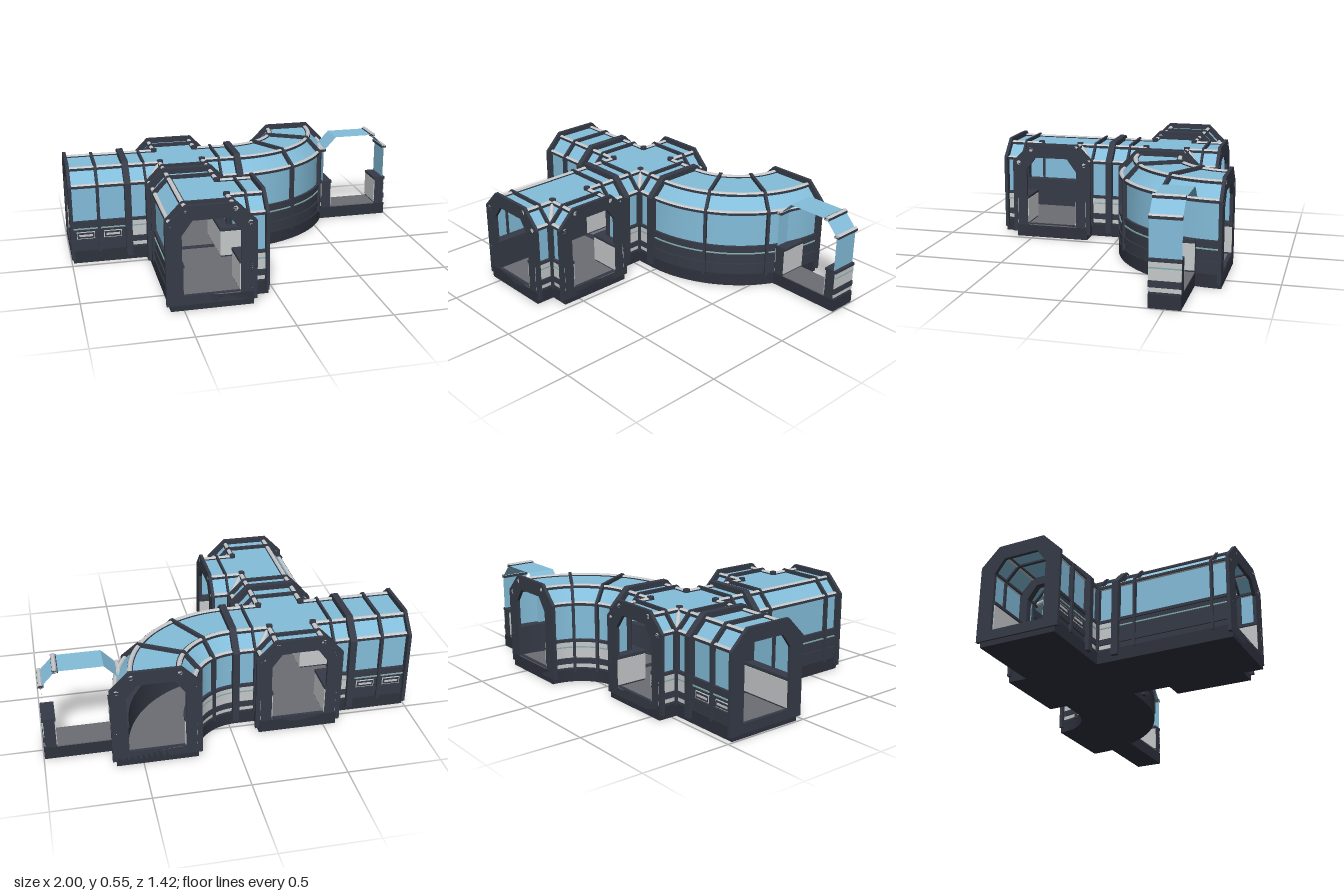
import * as THREE from 'three';
import { toCreasedNormals } from 'three/addons/utils/BufferGeometryUtils.js';

const mat = (name, color, side = THREE.FrontSide) => {
  const m = new THREE.MeshStandardMaterial({ color, side });
  m.name = name;
  return m;
};

// Sweep a (u, y) cross-section; map(u, t) gives the ground position [x, z].
function sweep(profile, n, map, closed = true) {
  const row = (i) => profile.map(([u, y]) => {
    const [x, z] = map(u, i / n);
    return new THREE.Vector3(x, y, z);
  });
  const tris = [];
  const rows = Array.from({ length: n + 1 }, (_, i) => row(i));
  const k = profile.length;
  for (let i = 0; i < n; i++) {
    for (let j = 0; j < (closed ? k : k - 1); j++) {
      const a = rows[i][j], b = rows[i][(j + 1) % k];
      const c = rows[i + 1][(j + 1) % k], d = rows[i + 1][j];
      tris.push([a, b, c], [a, c, d]);
    }
  }
  if (closed) {
    for (let j = 1; j < k - 1; j++) {
      tris.push([rows[0][0], rows[0][j + 1], rows[0][j]]);
      tris.push([rows[n][0], rows[n][j], rows[n][j + 1]]);
    }
    // Mirrored runs come out inside-out: turn them by signed volume.
    const o = rows[0][0], p = new THREE.Vector3(), q = new THREE.Vector3(), r = new THREE.Vector3();
    let vol = 0;
    for (const [a, b, c] of tris) vol += p.subVectors(a, o).dot(q.subVectors(b, o).cross(r.subVectors(c, o)));
    if (vol < 0) tris.forEach((t) => t.reverse());
  }
  const g = new THREE.BufferGeometry().setFromPoints(tris.flat());
  return toCreasedNormals(g, 0.5);
}

const rect = (u0, u1, y0, y1) => [[u0, y0], [u1, y0], [u1, y1], [u0, y1]];
const diamond = (u, y, r) => Array.from({ length: 8 }, (_, i) => {
  const a = (i + 0.5) * Math.PI / 4;
  return [u + r * Math.cos(a), y + r * Math.sin(a)];
});
const arch = (w, y0, y1, w2, y2) => [[-w, y0], [w, y0], [w, y1], [w2, y2], [-w2, y2], [-w, y1]]
  .map(([x, y]) => new THREE.Vector2(x, y));

export function createModel() {
  const root = new THREE.Group();
  root.name = 'corridorKit';
  const M = {
    frame: mat('darkFrame', 0x363b47),
    base: mat('darkBase', 0x2e323d),
    panel: mat('lightPanel', 0xc6c9cb),
    floor: mat('greyFloor', 0x6c6d74),
    glass: mat('blueGlass', 0x84bedb, THREE.DoubleSide),
    strip: mat('tealStrip', 0x86aeb0),
  };
  let group;
  const section = (name) => {
    group = new THREE.Group();
    group.name = name;
    root.add(group);
  };
  const add = (name, geo, m) => {
    const mesh = new THREE.Mesh(geo, m);
    mesh.name = name;
    group.add(mesh);
    return mesh;
  };

  // Half of a corridor: floor, wall, glass and rails on one side.
  function half(map, { n = 1, outer = true, inner = true, topRail = true } = {}) {
    const part = (name, p, m) => add(name, sweep(p, n, map), m);
    part('base', rect(0, 0.213, 0, 0.07), M.base);
    part('floor', rect(0, 0.146, 0.07, 0.076), M.floor);
    part('wall', rect(0.146, 0.205, 0.07, 0.228), M.frame);
    part('wallBand', rect(0.15, 0.212, 0.103, 0.135), M.frame);
    part('wallCap', rect(0.14, 0.212, 0.228, 0.244), M.frame);
    if (outer) {
      part('outerPanel', rect(0.204, 0.208, 0.137, 0.227), M.panel);
      part('lowerPanel', rect(0.204, 0.208, 0.08, 0.101), M.panel);
    }
    if (inner) part('innerPanel', rect(0.142, 0.147, 0.085, 0.224), M.panel);
    part('wallStrip', rect(0.204, 0.21, 0.195, 0.202), M.strip);
    add('glass', sweep([[0.197, 0.24], [0.197, 0.44], [0.12, 0.522], [0, 0.522]], n, map, false), M.glass);
    const rails = topRail ? [[0.198, 0.442], [0.122, 0.521]] : [[0.198, 0.442]];
    for (const [u, y] of rails) {
      part('railBed', rect(u - 0.016, u + 0.013, y - 0.008, y + 0.006), M.frame);
      part('rail', diamond(u, y + 0.001, 0.013), M.panel);
    }
  }

  // Portal rings across a corridor
  function ring(name, x, z, dx, dz, depth, outline, hole) {
    const s = new THREE.Shape(outline);
    s.holes.push(new THREE.Path(hole));
    const g = new THREE.ExtrudeGeometry(s, { depth, bevelEnabled: false });
    g.translate(0, 0, -depth / 2);
    const m = add(name, g, M.frame);
    m.position.set(x, 0, z);
    m.rotation.y = Math.atan2(dx, dz);
  }
  const portal = (x, z, dx, dz) => ring('endFrame', x - dx * 0.009, z - dz * 0.009, dx, dz, 0.018,
    arch(0.233, 0.028, 0.45, 0.132, 0.552), arch(0.15, 0.08, 0.4, 0.095, 0.475));
  const rib = (x, z, dx, dz, depth = 0.016) => ring('rib', x, z, dx, dz, depth,
    arch(0.221, 0.06, 0.449, 0.13, 0.542), arch(0.187, 0.068, 0.435, 0.115, 0.512));

  const straight = (cx, cz, dx, dz, a, b, side) => (u, t) => {
    const s = a + (b - a) * t;
    return [cx + dx * s - dz * side * u, cz + dz * s + dx * side * u];
  };

  // Junction arm, mitred against its neighbours
  const L = 0.32;
  function arm(cx, cz, dx, dz, sides) {
    for (const side of sides) {
      half((u, t) => {
        const s = u + (L - u) * t;
        return [cx + dx * s - dz * side * u, cz + dz * s + dx * side * u];
      });
    }
    portal(cx + dx * L, cz + dz * L, dx, dz);
    rib(cx + dx * 0.215, cz + dz * 0.215, dx, dz, 0.012);
  }
  // Sloped valley rail and roof stud at an inside corner
  function corner(cx, cz, sx, sz) {
    const a = new THREE.Vector3(cx + sx * 0.12, 0.523, cz + sz * 0.12);
    const b = new THREE.Vector3(cx + sx * 0.2, 0.442, cz + sz * 0.2);
    const rail = add('valleyRail', new THREE.CylinderGeometry(0.014, 0.014, a.distanceTo(b), 8), M.panel);
    rail.position.lerpVectors(a, b, 0.5);
    rail.quaternion.setFromUnitVectors(new THREE.Vector3(0, 1, 0), b.clone().sub(a).normalize());
    add('roofStud', new THREE.CylinderGeometry(0.018, 0.018, 0.03, 12), M.frame).position.set(a.x, 0.525, a.z);
    add('cornerPost', new THREE.CylinderGeometry(0.012, 0.012, 0.37, 8), M.frame)
      .position.set(b.x, 0.255, b.z);
  }

  const JX = -0.355, JZ = -0.255, TZ = JZ + 2 * L;

  section('straightCorridor');
  for (const side of [-1, 1]) {
    half(straight(0, JZ, 1, 0, -0.99, JX - L, side), { outer: false });
    for (const x of [-0.915, -0.765]) {
      add('vent', new THREE.BoxGeometry(0.1, 0.04, 0.008), M.panel).position.set(x, 0.16, JZ + side * 0.206);
      add('ventInset', new THREE.BoxGeometry(0.092, 0.032, 0.008), M.frame).position.set(x, 0.16, JZ + side * 0.2075);
      add('ventSlot', new THREE.BoxGeometry(0.075, 0.012, 0.008), M.panel).position.set(x, 0.16, JZ + side * 0.209);
    }
  }
  portal(-1, JZ, -1, 0);
  portal(JX - L, JZ, 1, 0);
  rib(-0.84, JZ, 1, 0);

  section('crossJunction');
  for (const [dx, dz] of [[1, 0], [-1, 0], [0, 1], [0, -1]]) arm(JX, JZ, dx, dz, [-1, 1]);
  for (const sx of [-1, 1]) for (const sz of [-1, 1]) corner(JX, JZ, sx, sz);

  section('teeJunction');
  arm(JX, TZ, 1, 0, [-1, 1]);
  arm(JX, TZ, 0, 1, [-1]);
  arm(JX, TZ, 0, -1, [1]);
  half(straight(JX, TZ, 0, 1, -L, L, 1), { outer: false, inner: false });
  for (const sz of [-1, 1]) corner(JX, TZ, 1, sz);

  section('curvedCorridor');
  const R = 0.46, CX = JX + L, CZ = JZ - R;
  for (const side of [-1, 1]) {
    half((u, t) => {
      const a = t * Math.PI / 2, r = R + side * u;
      return [CX + r * Math.sin(a), CZ + r * Math.cos(a)];
    }, { n: 24, outer: side < 0, inner: side < 0 });
  }
  portal(CX, JZ, -1, 0);
  portal(CX + R, CZ, 0, -1);
  for (const a of [Math.PI / 6, Math.PI / 3]) {
    rib(CX + R * Math.sin(a), CZ + R * Math.cos(a), Math.cos(a), -Math.sin(a));
  }

  section('shortSlice');
  for (const side of [-1, 1]) {
    half(straight(0.783, -0.5, 0, 1, -0.08, 0.08, side), { topRail: side < 0 });
  }
  return root;
}
